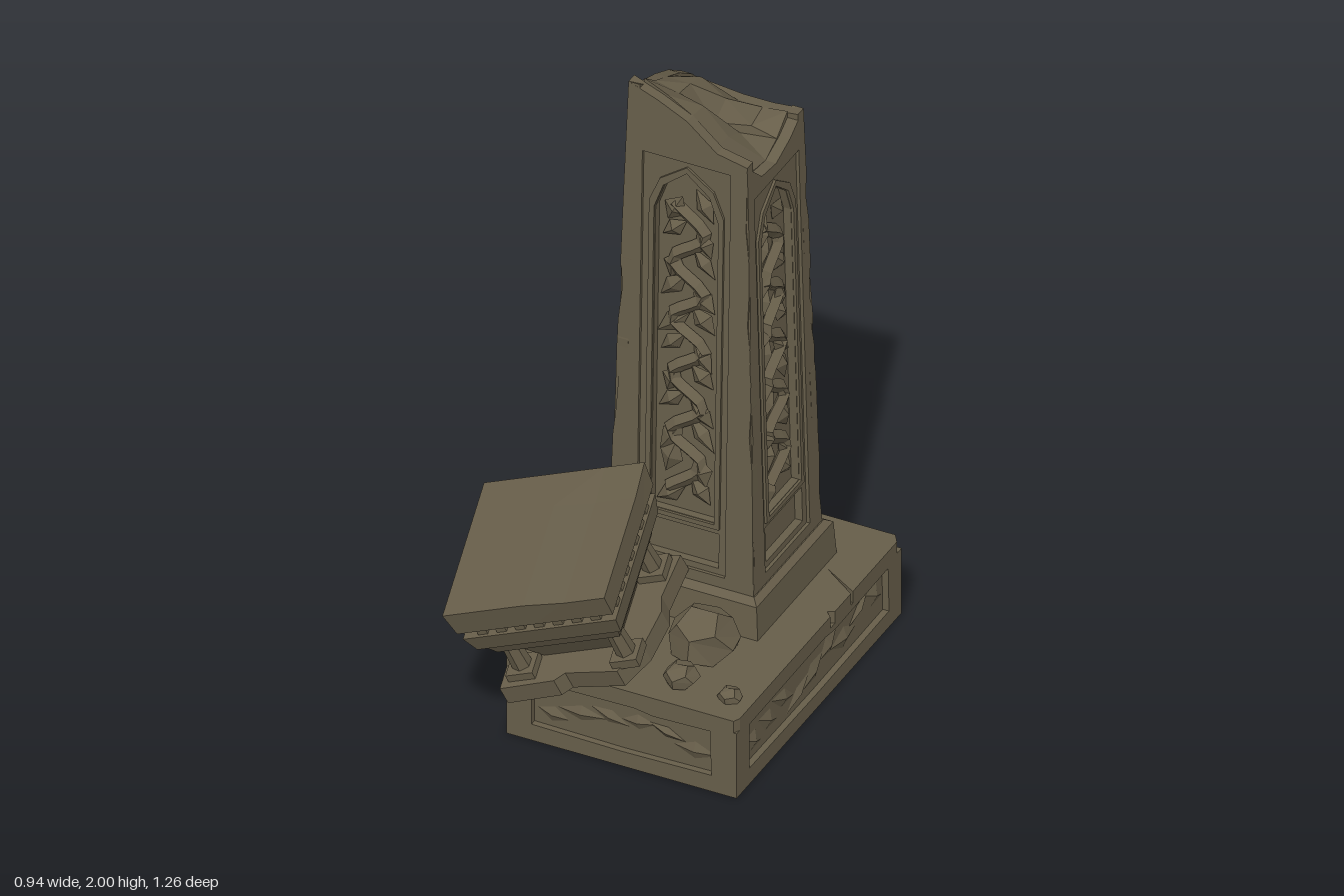
import * as THREE from 'three';

const stone = new THREE.MeshStandardMaterial({ color: 0x665d49, flatShading: true });
stone.name = 'weathered stone';

let seed = 11;
const rnd = () => (seed = (seed * 16807) % 2147483647) / 2147483647;
const jit = (a) => (rnd() * 2 - 1) * a;

function add(parent, name, geo) {
  let g = geo.index ? geo.toNonIndexed() : geo;
  g.computeVertexNormals();
  const m = new THREE.Mesh(g, stone);
  m.name = name;
  parent.add(m);
  return m;
}

// Move every vertex by a rule
function warp(geo, fn) {
  const p = geo.attributes.position, v = new THREE.Vector3();
  for (let i = 0; i < p.count; i++) {
    v.fromBufferAttribute(p, i);
    fn(v);
    p.setXYZ(i, v.x, v.y, v.z);
  }
  return geo;
}

// Block with different bottom and top half sizes, from y0 to y1
function taper(y0, y1, bx, bz, tx, tz) {
  return warp(new THREE.BoxGeometry(2, 1, 2), (v) => {
    const top = v.y > 0;
    v.set(v.x * (top ? tx : bx), top ? y1 : y0, v.z * (top ? tz : bz));
  });
}

const polygon = (pts) => new THREE.Shape(pts.map((p) => new THREE.Vector2(p[0], p[1])));
const rect = (w, y0, y1) => [[-w, y0], [w, y0], [w, y1], [-w, y1]];
const arch = (w, y0, y1) => [[-w, y0], [w, y0], [w, y1 - 0.14], [w * 0.72, y1 - 0.06], [0, y1], [-w * 0.72, y1 - 0.06], [-w, y1 - 0.14]];

function plate(outline, holes, thick) {
  const s = polygon(outline);
  holes.forEach((h) => s.holes.push(polygon(h)));
  return new THREE.ExtrudeGeometry(s, { depth: thick, bevelEnabled: false });
}

// Place (u, y, depth) geometry on side k of a block: 0 front, 1 +x, 2 back, 3 -x
const onSide = (geo, k, half) => warp(geo, (v) => { v.z += half(v.y); }).rotateY(k * Math.PI / 2);

function rock(r, sx, sy, sz) {
  const moved = {};
  return warp(new THREE.DodecahedronGeometry(r), (v) => {
    const key = [v.x, v.y, v.z].map((n) => Math.round(n * 1000)).join();
    moved[key] ??= [1 + jit(0.15), 1 + jit(0.15), 1 + jit(0.15)];
    const j = moved[key];
    v.set(v.x * sx * j[0], v.y * sy * j[1], v.z * sz * j[2]);
  });
}

function makeBase() {
  const g = new THREE.Group();
  g.name = 'base';
  const hx = 0.365, hz = 0.52;
  const core = new THREE.BoxGeometry(2 * hx - 0.04, 0.24, 2 * hz - 0.04);
  add(g, 'baseCore', core.translate(0, 0.12, 0));
  // Slab on top with chipped and cracked edges
  const top = polygon([[-hx, -hz], [hx - 0.01, -hz], [hx, -hz + 0.02], [hx, 0.07], [hx - 0.02, 0.09], [hx, 0.1],
    [hx, 0.2], [hx - 0.12, 0.285], [hx, 0.212], [hx, hz - 0.03], [hx - 0.02, hz], [0.03, hz], [0.012, hz - 0.035], [-0.01, hz],
    [-hx, hz], [-hx, 0.24], [-hx + 0.07, 0.2], [-hx, 0.225]]);
  const topGeo = new THREE.ExtrudeGeometry(top, { depth: 0.04, bevelEnabled: false });
  add(g, 'baseTop', topGeo.rotateX(-Math.PI / 2).translate(0, 0.222, 0));
  for (let k = 0; k < 4; k++) {
    const w = k % 2 ? hz : hx, d = k % 2 ? hx : hz;
    const hole = [[-w + 0.08, 0.055], [0, 0.05], [w - 0.08, 0.055], [w - 0.085, 0.205], [0.1, 0.2], [0.04, 0.21], [-w + 0.08, 0.205]];
    add(g, 'basePanelFrame', onSide(plate(rect(w, 0, 0.222), [hole], 0.02), k, () => d - 0.02));
    // Worn carving left inside the panel
    const n = k % 2 ? 9 : 6;
    for (let i = 0; i < n; i++) {
      const u = (w - 0.14) * ((2 * i) / (n - 1) - 1);
      const chip = new THREE.OctahedronGeometry(1).scale(0.05 + rnd() * 0.03, 0.015 + rnd() * 0.025, 0.013);
      chip.rotateZ(jit(0.5)).translate(u, 0.13 + jit(0.035), 0);
      add(g, 'basePanelCarving', onSide(chip, k, () => d - 0.02));
    }
  }
  g.position.set(0.105, 0, -0.11);
  return g;
}

// Heights of the broken top, rows from front to back, columns from -x to +x
const breakHeights = [
  [2.0, 1.965, 1.92, 1.84, 1.82],
  [1.95, 1.93, 1.91, 1.83, 1.74],
  [1.92, 1.92, 1.81, 1.8, 1.73],
  [1.88, 1.9, 1.85, 1.78, 1.76],
  [1.82, 1.81, 1.8, 1.8, 1.81],
];
const Y0 = 0.38;
const halfX = (y) => 0.232 - 0.04 * (y - Y0) / 1.44;
const halfZ = (y) => halfX(y) - 0.015;

function makeShaft() {
  const g = new THREE.Group();
  g.name = 'pillar';
  add(g, 'plinth', taper(0.25, 0.37, 0.262, 0.25, 0.254, 0.242));
  add(g, 'plinthBevel', taper(0.37, 0.385, 0.254, 0.242, 0.235, 0.22));
  const core = warp(new THREE.BoxGeometry(2, 1, 2, 4, 1, 4), (v) => {
    const y = v.y > 0 ? breakHeights[Math.round(2 - v.z * 2)][Math.round(v.x * 2 + 2)] : Y0;
    v.set(v.x * (halfX(y) - 0.034), y, v.z * (halfZ(y) - 0.034));
  });
  add(g, 'pillarCore', core);

  for (let k = 0; k < 4; k++) {
    const w = k % 2 ? halfZ : halfX, d = k % 2 ? halfX : halfZ;
    const edge = [0, 1, 2, 3, 4].map((i) =>
      [breakHeights[0][i], breakHeights[i][4], breakHeights[4][4 - i], breakHeights[4 - i][0]][k]);
    const top = k === 1 ? 1.69 : 1.78;
    const side = (s) => {
      const pts = [];
      for (let y = 0.5; y < 1.7; y += 0.1) pts.push([s * (w(y) - (rnd() > 0.6 ? rnd() * 0.014 : 0)), y + jit(0.03)]);
      return pts;
    };
    const outline = [[-w(Y0), Y0], [w(Y0), Y0], ...side(1),
      ...edge.map((h, i) => [(i / 2 - 1) * w(h), h]).reverse(), ...side(-1).reverse()];
    // Two stepped layers: outer frame, then an arched panel above a small square one
    add(g, 'pillarOuterFrame', onSide(plate(outline, [rect(0.14, 0.42, top)], 0.012), k, (y) => d(y) - 0.012));
    add(g, 'pillarArchFrame', onSide(
      plate(outline, [arch(0.1, 0.59, top - 0.04), rect(0.115, 0.44, 0.555)], 0.026), k, (y) => d(y) - 0.036));
    // Raised moulding round the arch
    const ring = plate(arch(0.118, 0.573, top - 0.018), [arch(0.102, 0.588, top - 0.038)], 0.01);
    add(g, 'archMoulding', onSide(ring, k, (y) => d(y) - 0.012));

    // Winding vine with angular leaves
    const waves = 10, step = (top - 0.82) / waves, path = [];
    for (let i = 0; i <= waves; i++) path.push(new THREE.Vector3((i % 2 ? 1 : -1) * 0.052, 0.66 + i * step, jit(0.004)));
    const vine = new THREE.TubeGeometry(new THREE.CatmullRomCurve3(path), 44, 0.021, 4);
    add(g, 'carvedVine', onSide(vine, k, (y) => d(y) - 0.027));
    path.forEach((p, i) => {
      for (const s of [1, -1]) {
        const leaf = new THREE.OctahedronGeometry(1).scale(0.026 + rnd() * 0.012, 0.048 + rnd() * 0.02, 0.021);
        leaf.rotateZ(s * (0.6 + jit(0.35)) * Math.sign(p.x)).rotateX(jit(0.15));
        leaf.translate(p.x * s * 0.9, p.y + (s < 0 ? 0.01 : -0.02), 0);
        add(g, 'carvedLeaf', onSide(leaf, k, (y) => d(y) - 0.028));
      }
    });
  }
  g.position.set(0.08, 0, -0.228);
  return g;
}

// Toppled capital, built upright below its top face and then tilted
function makeCapital() {
  const g = new THREE.Group();
  g.name = 'fallenCapital';
  const lid = new THREE.BoxGeometry(0.51, 0.085, 0.52, 4, 1, 4);
  add(g, 'capitalSlab', warp(lid, (v) => {
    const crack = v.y > 0 && v.x > 0.05 && v.z > -0.2;
    v.y += -0.0425 + (crack ? -0.01 : 0);
    if (v.y < -0.05) { v.x *= 0.97; v.z *= 0.97; }
  }));
  add(g, 'capitalGroove', taper(-0.115, -0.08, 0.222, 0.222, 0.232, 0.235));
  for (const s of [-1, 1]) {
    for (let i = 0; i < 7; i++) {
      const t = -0.18 + i * 0.06;
      add(g, 'dentil', new THREE.BoxGeometry(0.03, 0.025, 0.016).translate(t, -0.099, s * 0.231));
      add(g, 'dentil', new THREE.BoxGeometry(0.016, 0.025, 0.03).translate(s * 0.229, -0.099, t));
    }
  }
  add(g, 'capitalBand', taper(-0.175, -0.113, 0.228, 0.232, 0.243, 0.247));
  add(g, 'capitalStep', taper(-0.225, -0.175, 0.195, 0.2, 0.215, 0.22));
  add(g, 'capitalNeck', taper(-0.345, -0.225, 0.115, 0.115, 0.17, 0.17));
  for (const x of [-1, 1]) {
    for (const z of [-1, 1]) {
      const post = new THREE.CylinderGeometry(0.026, 0.032, 0.13, 6);
      add(g, 'capitalPost', post.translate(x * 0.165, -0.285, z * 0.165));
      add(g, 'capitalPostFoot', new THREE.BoxGeometry(0.085, 0.03, 0.085).translate(x * 0.165, -0.33, z * 0.165));
    }
  }
  // Lower slab with broken corners
  const foot = polygon([[-0.23, -0.23], [-0.06, -0.225], [-0.03, -0.2], [0.14, -0.22], [0.2, -0.13],
    [0.225, 0.0], [0.21, 0.06], [0.23, 0.22], [0.05, 0.23], [-0.2, 0.225], [-0.23, 0.17]]);
  const footGeo = new THREE.ExtrudeGeometry(foot, { depth: 0.06, bevelEnabled: false });
  add(g, 'capitalFoot', footGeo.rotateX(-Math.PI / 2).translate(0, -0.4, 0));

  const up = new THREE.Vector3(-0.293, 0.91, 0.292).normalize();
  const zAxis = new THREE.Vector3(0.222, -0.232, 0.947);
  const xAxis = new THREE.Vector3().crossVectors(up, zAxis).normalize();
  zAxis.crossVectors(xAxis, up);
  g.quaternion.setFromRotationMatrix(new THREE.Matrix4().makeBasis(xAxis, up, zAxis));
  g.position.set(-0.175, 0.652, 0.345);
  return g;
}

export function createModel() {
  const model = new THREE.Group();
  model.name = 'ruinedPillar';
  model.add(makeBase(), makeShaft(), makeCapital());
  // Loose rubble on the base
  add(model, 'largeRock', rock(0.115, 1, 0.75, 0.9)).position.set(0.225, 0.315, 0.13);
  add(model, 'smallRock', rock(0.05, 1, 0.8, 1.15)).position.set(0.24, 0.285, 0.3);
  add(model, 'pebble', rock(0.037, 1, 0.7, 1.1)).position.set(0.4, 0.27, 0.31);
  return model;
}
